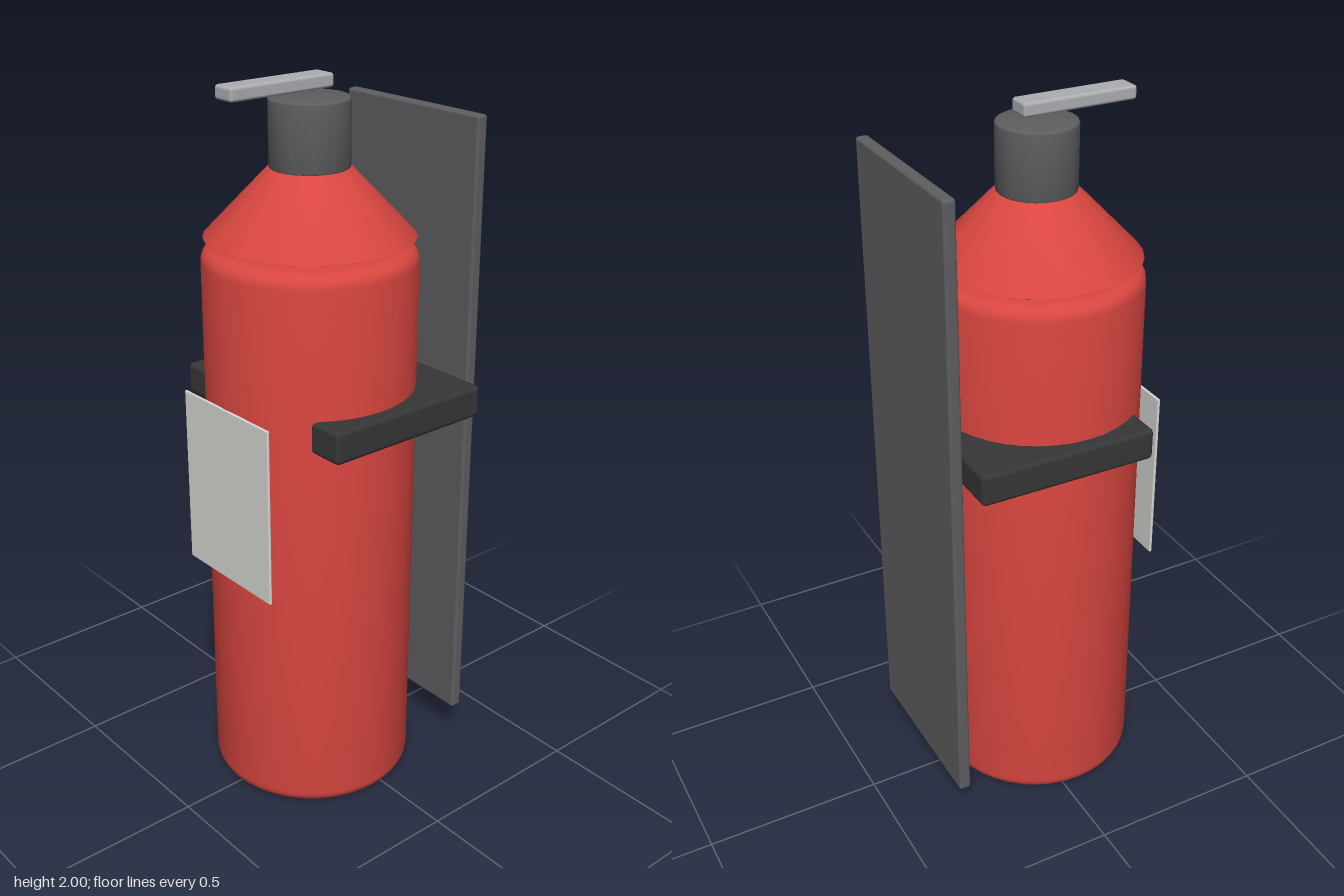
import * as THREE from 'three';
import { toCreasedNormals } from 'three/addons/utils/BufferGeometryUtils.js';
import { RoundedBoxGeometry } from 'three/addons/geometries/RoundedBoxGeometry.js';

const material = (name, color) => {
  const m = new THREE.MeshStandardMaterial({ color });
  m.name = name;
  return m;
};

export function createModel() {
  const model = new THREE.Group();
  const red = material('red paint', 0xd94640);
  const darkGrey = material('dark grey metal', 0x5e5e60);
  const black = material('black rubber', 0x363636);
  const silver = material('silver metal', 0xacaeb2);
  const paper = material('label paper', 0xd6d6d3);
  const axisZ = 0.043; // centre line of the cylinder

  function add(name, geometry, mat, x, y, z) {
    const mesh = new THREE.Mesh(geometry, mat);
    mesh.name = name;
    mesh.position.set(x, y, z);
    model.add(mesh);
  }

  // Turned solid with rounded bottom and top edges
  function turned(name, mat, y0, y1, r0, r1, bevel0, bevel1, segments) {
    const slope = (r1 - r0) / (y1 - y0);
    const pts = [new THREE.Vector2(0, y0)];
    const steps = 5;
    for (let i = 0; i <= steps; i++) {
      const a = (i / steps) * Math.PI / 2;
      const y = y0 + bevel0 * (1 - Math.cos(a));
      pts.push(new THREE.Vector2(r0 + slope * (y - y0) - bevel0 * (1 - Math.sin(a)), y));
    }
    for (let i = 0; i <= steps; i++) {
      const a = (i / steps) * Math.PI / 2;
      const y = y1 - bevel1 * (1 - Math.sin(a));
      pts.push(new THREE.Vector2(r1 + slope * (y - y1) - bevel1 * (1 - Math.cos(a)), y));
    }
    pts.push(new THREE.Vector2(0, y1));
    const geometry = toCreasedNormals(new THREE.LatheGeometry(pts, segments), 0.5);
    add(name, geometry, mat, 0, 0, axisZ);
  }

  // Box given by its size and centre
  function box(name, mat, [w, h, d], [x, y, z], radius) {
    add(name, new RoundedBoxGeometry(w, h, d, 3, radius), mat, x, y, z);
  }

  // Tank, shoulder cone and valve
  turned('tank', red, 0, 1.57, 0.283, 0.283, 0.038, 0.038, 40);
  turned('shoulder', red, 1.593, 1.77, 0.277, 0.107, 0.002, 0.004, 32);
  turned('valve', darkGrey, 1.768, 1.945, 0.105, 0.105, 0.006, 0.006, 24);

  // Handle, label, mounting band and wall plate
  box('handle', silver, [0.067, 0.036, 0.318], [0, 1.982, 0.149], 0.008);
  box('label', paper, [0.356, 0.5, 0.008], [0, 0.93, 0.326], 0.003);
  box('mountingBand', black, [0.64, 0.09, 0.5], [0, 1.145, -0.03], 0.014);
  box('wallPlate', darkGrey, [0.5, 1.777, 0.034], [0, 1.001, -0.316], 0.008);

  return model;
}
